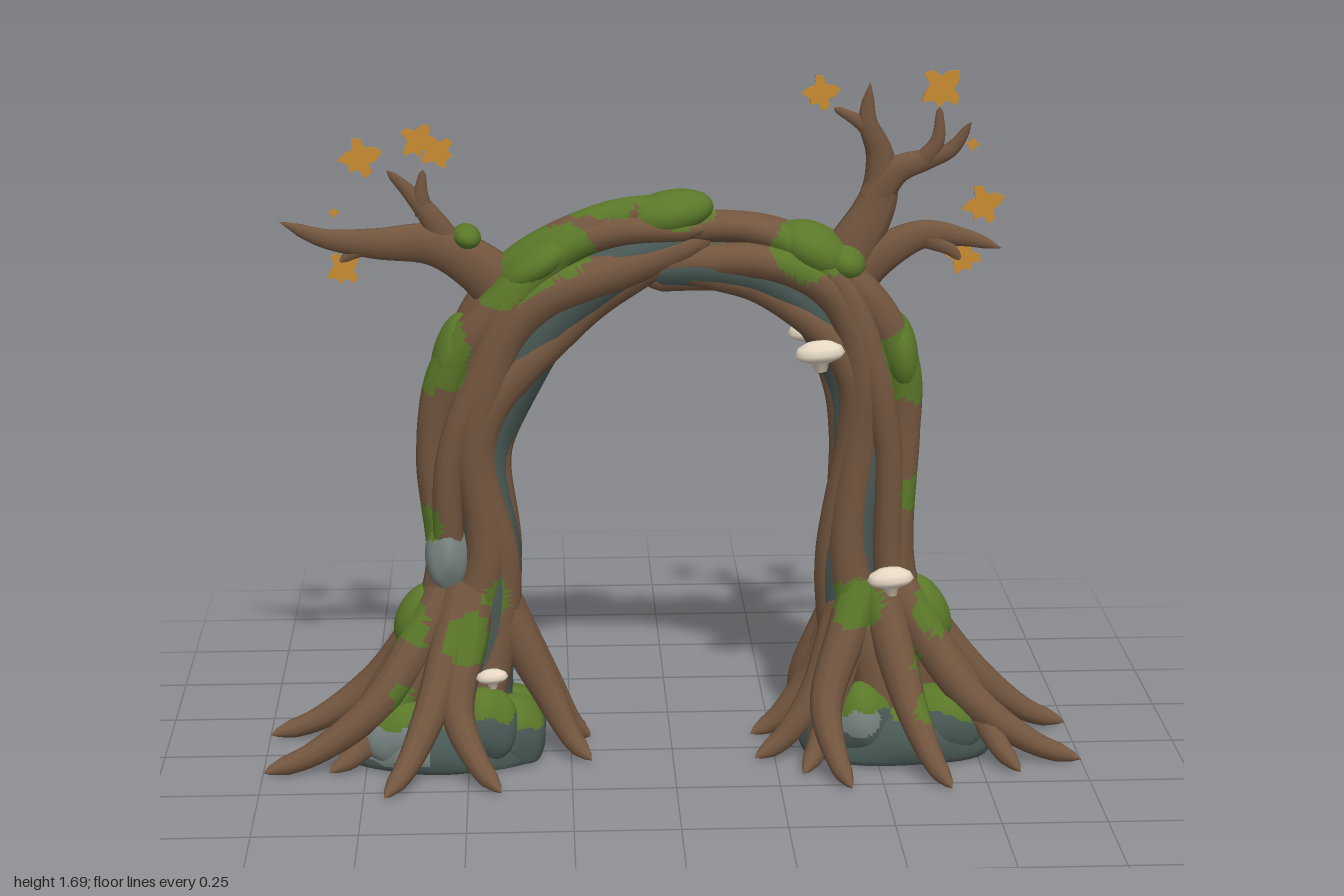
import * as THREE from 'three';

const mat = (name, color) => {
  const m = new THREE.MeshStandardMaterial({ color });
  m.name = name;
  return m;
};
const V = (x, y, z = 0) => new THREE.Vector3(x, y, z);

export function createModel() {
  const bark = mat('bark', 0x73563f);
  const moss = mat('moss', 0x5a7829);
  const core = mat('dark heartwood', 0x4a5a56);
  const stone = mat('stone', 0x77827f);
  const leafGold = mat('autumn leaf', 0xc98b30);
  const cream = mat('mushroom', 0xe6d8c4);

  const model = new THREE.Group();
  model.name = 'treeArch';
  const add = (name, geo, material) => {
    const mesh = new THREE.Mesh(geo, material);
    mesh.name = name;
    model.add(mesh);
    return mesh;
  };

  // Moss regions on the bark: centre and radii of each ellipsoid
  const mossZones = [
    [-0.55, 1.03, 0, 0.08, 0.11, 0.12], [-0.41, 1.2, 0, 0.055, 0.06, 0.2], [-0.34, 1.25, 0, 0.075, 0.065, 0.2],
    [-0.25, 1.29, 0, 0.075, 0.06, 0.2], [-0.15, 1.38, 0, 0.12, 0.035, 0.06], [0, 1.39, 0, 0.11, 0.07, 0.1],
    [-0.63, 0.37, 0, 0.08, 0.08, 0.11], [-0.58, 0.61, 0, 0.05, 0.05, 0.08], [-0.5, 0.34, 0.1, 0.06, 0.07, 0.07],
    [-0.43, 0.43, 0.06, 0.03, 0.05, 0.05], [-0.52, 0.34, -0.1, 0.07, 0.07, 0.07],
    [-0.49, 1.32, 0, 0.04, 0.04, 0.08], [0.33, 1.28, 0, 0.11, 0.075, 0.18],
    [0.56, 1.01, 0, 0.075, 0.11, 0.12], [0.58, 0.67, 0, 0.05, 0.06, 0.07],
    [0.63, 0.37, 0, 0.07, 0.08, 0.1], [0.44, 0.41, 0.09, 0.065, 0.06, 0.07],
    [0.46, 0.36, -0.09, 0.06, 0.07, 0.06], [0.6, 0.16, 0.16, 0.05, 0.04, 0.05],
    [0.57, 0.26, 0.1, 0.035, 0.035, 0.05], [-0.66, 0.2, 0.1, 0.03, 0.04, 0.05], [0.6, 0.16, -0.16, 0.05, 0.04, 0.05],
  ];
  // Sort the triangles into groups: base colour first, then one per list of zones
  function paint(geo, ...lists) {
    const p = geo.attributes.position, idx = geo.index.array, sets = [[], ...lists.map(() => [])];
    for (let i = 0; i < idx.length; i += 3) {
      const t = [idx[i], idx[i + 1], idx[i + 2]];
      const c = V(0, 0);
      t.forEach((k) => c.add(V(p.getX(k), p.getY(k), p.getZ(k))));
      c.divideScalar(3);
      const edge = 1 + 0.15 * Math.sin(c.x * 45 + c.y * 31) * Math.cos(c.z * 50 + c.y * 23);
      const hit = lists.findIndex((zones) => zones.some(([x, y, z, a, b, d]) =>
        Math.hypot((c.x - x) / a, (c.y - y) / b, (c.z - z) / d) < edge));
      sets[hit + 1].push(...t);
    }
    geo.setIndex(sets.flat());
    let start = 0;
    sets.forEach((s, i) => {
      geo.addGroup(start, s.length, i);
      start += s.length;
    });
    return geo;
  }

  // Tube with a radius rule and rounded ends
  function limb(points, radius, segs, sides, capLength = 12) {
    const curve = new THREE.CatmullRomCurve3(points);
    const geo = new THREE.TubeGeometry(curve, segs, 1, sides);
    const p = geo.attributes.position, v = V(0, 0);
    for (let i = 0; i <= segs; i++) {
      const t = i / segs, c = curve.getPointAt(t);
      const r = radius(t) * Math.min(1, Math.sqrt(t * 20), Math.sqrt((1 - t) * capLength));
      for (let j = 0; j <= sides; j++) {
        const k = i * (sides + 1) + j;
        v.fromBufferAttribute(p, k).sub(c).multiplyScalar(r).add(c);
        p.setXYZ(k, v.x, v.y, v.z);
      }
    }
    return geo;
  }

  // Trunks: x, y, half width in the arch plane, half depth
  const trunks = [
    { name: 'rightTrunk', side: 1, gap: 0.69, rows: [[-0.53, 0.04, 0.15, 0.12], [-0.515, 0.25, 0.14, 0.11], [-0.475, 0.5, 0.122, 0.087],
      [-0.5, 0.8, 0.115, 0.09], [-0.42, 1.02, 0.148, 0.106], [-0.3, 1.175, 0.14, 0.104], [-0.13, 1.28, 0.122, 0.088], [0.08, 1.335, 0.075, 0.06]] },
    { name: 'leftTrunk', side: -1, gap: 0.74, rows: [[0.53, 0.04, 0.15, 0.12], [0.505, 0.25, 0.14, 0.11], [0.47, 0.5, 0.124, 0.087],
      [0.49, 0.8, 0.108, 0.09], [0.475, 0.98, 0.12, 0.102], [0.385, 1.145, 0.13, 0.102], [0.23, 1.245, 0.11, 0.087],
      [0.08, 1.27, 0.1, 0.06], [-0.08, 1.26, 0.09, 0.055]] },
  ];
  for (const { name, side, gap, rows } of trunks) {
    const path = new THREE.CatmullRomCurve3(rows.map((r) => V(r[0], r[1])));
    const size = new THREE.CatmullRomCurve3(rows.map((r) => V(r[2], r[3])));
    const strand = (angle, k, reach = 1) => {
      const pts = [];
      for (let i = 0; i <= 30; i++) {
        const u = i / 30, c = path.getPoint(u), t = path.getTangent(u), s = size.getPoint(u), a = angle(u);
        const out = Math.cos(a) * s.x * (reach - k), deep = Math.sin(a) * Math.max(s.y - k * s.x, 0.01);
        pts.push(V(c.x - side * t.y * out, c.y + side * t.x * out, deep));
      }
      return limb(pts, (t) => k * size.getPoint(t).x, 120, 12, 30);
    };
    add(name + 'Core', strand(() => Math.PI, 0.58, 0.9), core);
    for (let i = 0; i < 8; i++) {
      const angle = (u) => (i - 3.5) * gap + 0.42 * Math.sin(u * 11 + i * 1.7) + side * 0.7 * (u - 0.5);
      add(name + 'Strand', paint(strand(angle, 0.36 + 0.06 * Math.sin(i * 2.3)), mossZones), [bark, moss]);
    }
  }

  // Roots: ground tip x and z, spreading from each trunk
  const rootTips = {
    '-1': [[-1, 0.125], [-1, -0.125], [-0.7, 0.295], [-0.7, -0.295], [-0.42, 0.275], [-0.42, -0.275],
      [-0.2, 0.08], [-0.2, -0.08], [-0.84, 0.13], [-0.84, -0.13]],
    '1': [[1, 0.125], [1, -0.125], [0.84, 0.2], [0.84, -0.2], [0.66, 0.295], [0.66, -0.295], [0.42, 0.285],
      [0.4, -0.27], [0.2, 0.08], [0.2, -0.08], [0.31, 0.19], [0.31, -0.19]],
  };
  for (const s of [-1, 1]) {
    rootTips[s].forEach(([x, z], i) => {
      const cx = s * 0.475, dx = x - cx, bend = 0.08 * Math.sin(i * 2.1 + s);
      const at = (f, y, b = 0) => V(cx + dx * f - z * bend * b * 4, y, z * f + dx * bend * b);
      const pts = [at(0.1, 0.47), at(0.29, 0.33, 0.5), at(0.54, 0.17, 1), at(0.8, 0.055, 0.5), at(1, 0.01)];
      add('root', paint(limb(pts, (t) => 0.052 - 0.034 * t * t, 36, 10), mossZones), [bark, moss]);
    });
  }

  // Rocks at the feet, flat and dark underneath, with moss and pale stone patches
  function rock(x, y, z, a, b, d, seed, mossy, pale) {
    const geo = new THREE.SphereGeometry(1, 48, 32), p = geo.attributes.position;
    for (let i = 0; i < p.count; i++) {
      const X = p.getX(i), Y = p.getY(i), Z = p.getZ(i);
      const w = 1 + 0.05 * Math.sin(X * 4 + seed) * Math.cos(Z * 4 + Y * 3 + seed);
      p.setXYZ(i, x + X * a * w, Math.max(0.012, y + Y * b * w), z + Z * d * w);
    }
    geo.computeVertexNormals();
    add('rock', paint(geo, mossy, pale), [core, moss, stone]);
  }
  const paleZones = {
    '-1': [[-0.69, 0.08, 0, 0.15, 0.067, 0.22], [-0.48, 0.09, -0.12, 0.08, 0.06, 0.08]],
    '1': [[0.47, 0.1, -0.12, 0.11, 0.07, 0.1], [0.45, 0.13, 0.13, 0.06, 0.04, 0.06]],
  };
  for (const s of [-1, 1]) {
    rock(s * 0.56, 0.05, 0, 0.245, 0.13, 0.165, s, [[s * 0.57, 0.2, 0, 0.24, 0.11, 0.18]], paleZones[s]);
    for (const side of [-1, 1]) {
      [[0.66, 0.09, 0.06, 0.11, 0.1, 0.09], [0.46, 0.11, 0.09, 0.08, 0.1, 0.07], [0.39, 0.07, 0.04, 0.08, 0.1, 0.08]].forEach(([x, y, z, a, b, d], i) =>
        rock(s * x, y, side * z, a, b, d, i + side, [[s * x, y + b, side * z, a * 1.1, b * 1.05, d * 1.1]], paleZones[s]));
    }
  }
  // Pale stone set into the trunk
  rock(-0.545, 0.52, 0, 0.055, 0.1, 0.088, 1, [[-0.6, 0.62, 0, 0.06, 0.05, 0.1]], [[-0.55, 0.52, 0, 0.2, 0.2, 0.2]]);

  // Moss cushions: x, y, z, radii, tilt
  [[-0.01, 1.36, 0, 0.11, 0.055, 0.075, 0.22], [-0.525, 1.03, 0, 0.045, 0.1, 0.075, -0.3], [-0.62, 0.37, 0, 0.05, 0.085, 0.06, -0.5],
    [0.63, 0.37, 0, 0.045, 0.09, 0.06, 0.5], [0.545, 1.02, 0, 0.045, 0.1, 0.075, 0.15], [0.34, 1.27, 0, 0.1, 0.062, 0.09, -0.5],
    [-0.32, 1.25, 0, 0.12, 0.05, 0.1, 0.6], [0.41, 1.245, 0.02, 0.05, 0.045, 0.07, -0.6], [-0.485, 1.31, 0, 0.035, 0.03, 0.05, -0.4],
  ].forEach(([x, y, z, a, b, d, tilt]) => {
    const m = add('mossCushion', new THREE.SphereGeometry(1, 28, 18), moss);
    m.position.set(x, y, z);
    m.scale.set(a, b, d);
    m.rotation.z = tilt;
  });

  // Branches, slimmer in depth: start radius, then x, y pairs
  [[0.07, -0.36, 1.13, -0.45, 1.23, -0.56, 1.29, -0.7, 1.295, -0.82, 1.31, -0.925, 1.35],
    [0.032, -0.52, 1.28, -0.57, 1.36, -0.62, 1.42, -0.67, 1.47],
    [0.02, -0.58, 1.36, -0.59, 1.41, -0.585, 1.47],
    [0.02, -0.68, 1.295, -0.74, 1.28, -0.79, 1.25],
    [0.068, 0.36, 1.18, 0.43, 1.28, 0.49, 1.4, 0.49, 1.5, 0.46, 1.58, 0.465, 1.67],
    [0.038, 0.47, 1.38, 0.53, 1.46, 0.6, 1.485, 0.66, 1.51, 0.705, 1.575],
    [0.02, 0.49, 1.52, 0.45, 1.57, 0.38, 1.61],
    [0.018, 0.59, 1.48, 0.625, 1.53, 0.63, 1.61],
    [0.055, 0.4, 1.17, 0.5, 1.26, 0.6, 1.305, 0.7, 1.295, 0.785, 1.27],
    [0.022, 0.6, 1.3, 0.66, 1.27, 0.69, 1.24],
  ].forEach(([r, ...xy]) => {
    const pts = [];
    for (let i = 0; i < xy.length; i += 2) pts.push(V(xy[i], xy[i + 1], 0.006 * Math.sin(i)));
    add('branch', limb(pts, (t) => r * (1 - t) ** 0.8 + 0.006, 36, 10).scale(1, 1, 0.65), bark);
  });

  // Leaves: x, y, size, turn
  const outline = [1, 0.75, 0.5, 0.85, 0.95, 0.5, 0.7, 1, 0.6, 0.8, 0.5, 0.9, 0.8, 0.45, 0.7];
  const leafShape = new THREE.Shape(outline.map((r, i) => {
    const a = (i / outline.length) * Math.PI * 2;
    return new THREE.Vector2(r * Math.cos(a), r * Math.sin(a));
  }));
  const leafGeo = new THREE.ExtrudeGeometry(leafShape, { depth: 0.12, bevelEnabled: false });
  [[-0.73, 1.5, 0.054, 0.3], [-0.595, 1.54, 0.047, 1], [-0.55, 1.515, 0.047, 2.2], [-0.775, 1.235, 0.047, 0.7], [-0.795, 1.37, 0.014, 0],
    [0.35, 1.645, 0.047, 0.2], [0.635, 1.655, 0.058, 0.8], [0.74, 1.375, 0.053, 0.4], [0.695, 1.25, 0.048, 1.4], [0.71, 1.52, 0.017, 0],
  ].forEach(([x, y, s, turn]) => {
    const m = add('leaf', leafGeo, leafGold);
    m.position.set(x, y, -0.003);
    m.scale.setScalar(s);
    m.rotation.z = turn;
  });

  // Shelf mushrooms: x, y, z, size
  const cap = new THREE.LatheGeometry([[0, -0.045], [0.014, -0.042], [0.02, -0.022], [0.05, -0.01], [0.06, 0.002], [0.052, 0.018], [0.03, 0.03], [0, 0.034]]
    .map(([x, y]) => new THREE.Vector2(x, y)), 20);
  [[0.345, 1.04, 0.105, 1], [0.345, 1.04, -0.105, 1], [0.525, 0.47, 0.09, 0.95], [-0.44, 0.255, 0.145, 0.65]].forEach(([x, y, z, s]) => {
    const c = add('mushroomCap', cap, cream);
    c.position.set(x, y, z);
    c.scale.set(s, s, s * 0.6);
    c.rotation.z = 0.08;
  });

  return model;
}
